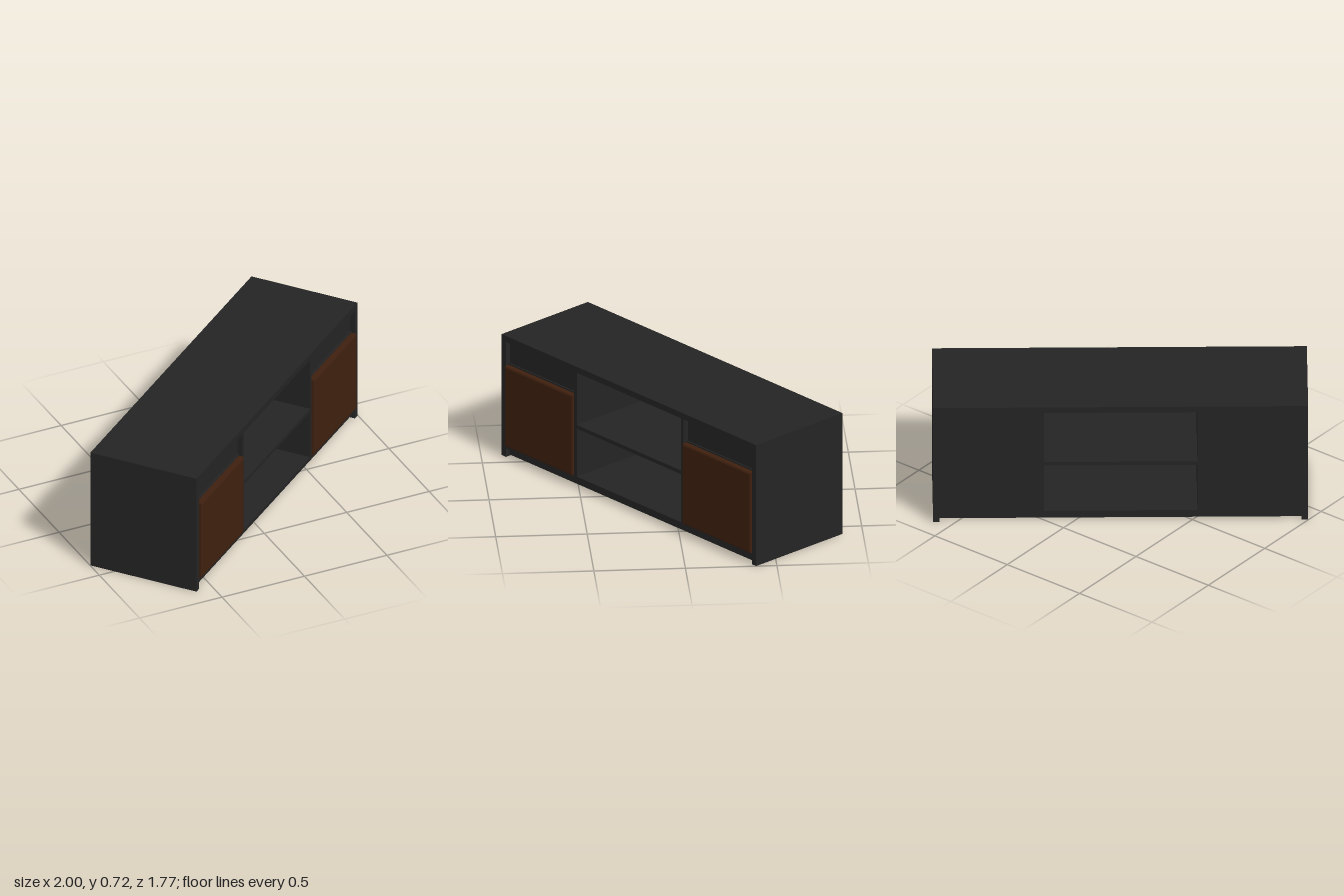
import * as THREE from 'three';

export function createModel() {
  const model = new THREE.Group();
  model.name = 'mediaCabinet';

  const charcoal = new THREE.MeshStandardMaterial({ color: 0x242424 });
  charcoal.name = 'charcoal';
  const walnut = new THREE.MeshStandardMaterial({ color: 0x3f200f });
  walnut.name = 'walnut';

  const W = 1.022, D = 0.32; // half length, half depth
  const T = 0.035;           // board thickness
  const H = 0.72;

  // Box given by its limits on each axis
  const box = (name, x0, x1, y0, y1, z0, z1, mat = charcoal) => {
    const m = new THREE.Mesh(new THREE.BoxGeometry(x1 - x0, y1 - y0, z1 - z0), mat);
    m.position.set((x0 + x1) / 2, (y0 + y1) / 2, (z0 + z1) / 2);
    m.name = name;
    model.add(m);
    return m;
  };

  // Carcass boards
  box('topBoard', -W, W, H - T, H, -D, D);
  box('bottomBoard', -W + T, W - T, 0.05, 0.066, -D, D);
  box('plinth', -W + T, W - T, 0.008, 0.05, -D + 0.025, D - 0.025);
  box('middleShelf', -0.418, 0.418, 0.352, 0.374, -D, D);

  // Door slab with a small bevel around its front
  const doorW = 0.544, doorH = 0.475, bevel = 0.008;
  const outline = new THREE.Shape();
  const hw = doorW / 2 - bevel, hh = doorH / 2 - bevel;
  outline.moveTo(-hw, -hh);
  outline.lineTo(hw, -hh);
  outline.lineTo(hw, hh);
  outline.lineTo(-hw, hh);
  outline.closePath();
  const doorGeo = new THREE.ExtrudeGeometry(outline, {
    depth: 0.032, bevelEnabled: true, bevelSize: bevel, bevelThickness: 0.004, bevelSegments: 1,
  });

  // Closed compartment at each end, mirrored
  for (const s of [-1, 1]) {
    const side = s > 0 ? 'left' : 'right';
    const span = (name, a, b, ...rest) =>
      box(side + name, Math.min(s * a, s * b), Math.max(s * a, s * b), ...rest);
    span('EndPanel', W - T, W, 0, H - T, -D, D);
    span('Divider', 0.418, 0.44, 0.066, H - T, -D, D);
    span('BackPanel', 0.44, W - T, 0.066, H - T, -D, -D + 0.02);
    span('DrawerFront', 0.444, W - T - 0.004, 0.552, H - T - 0.003, 0.265, 0.292);
    span('InnerFront', 0.44, W - T, 0.066, H - T, 0.25, 0.265);
    span('DrawerRail', 0.44, W - T, 0.542, 0.552, 0.265, 0.3);

    const door = new THREE.Mesh(doorGeo, walnut);
    door.name = side + 'Door';
    door.position.set(s * 0.714, 0.306, 0.297);
    model.add(door);
  }

  // The cabinet stands turned about the vertical axis
  model.rotation.y = 0.673;
  const root = new THREE.Group();
  root.name = 'cabinet';
  root.add(model);
  return root;
}
